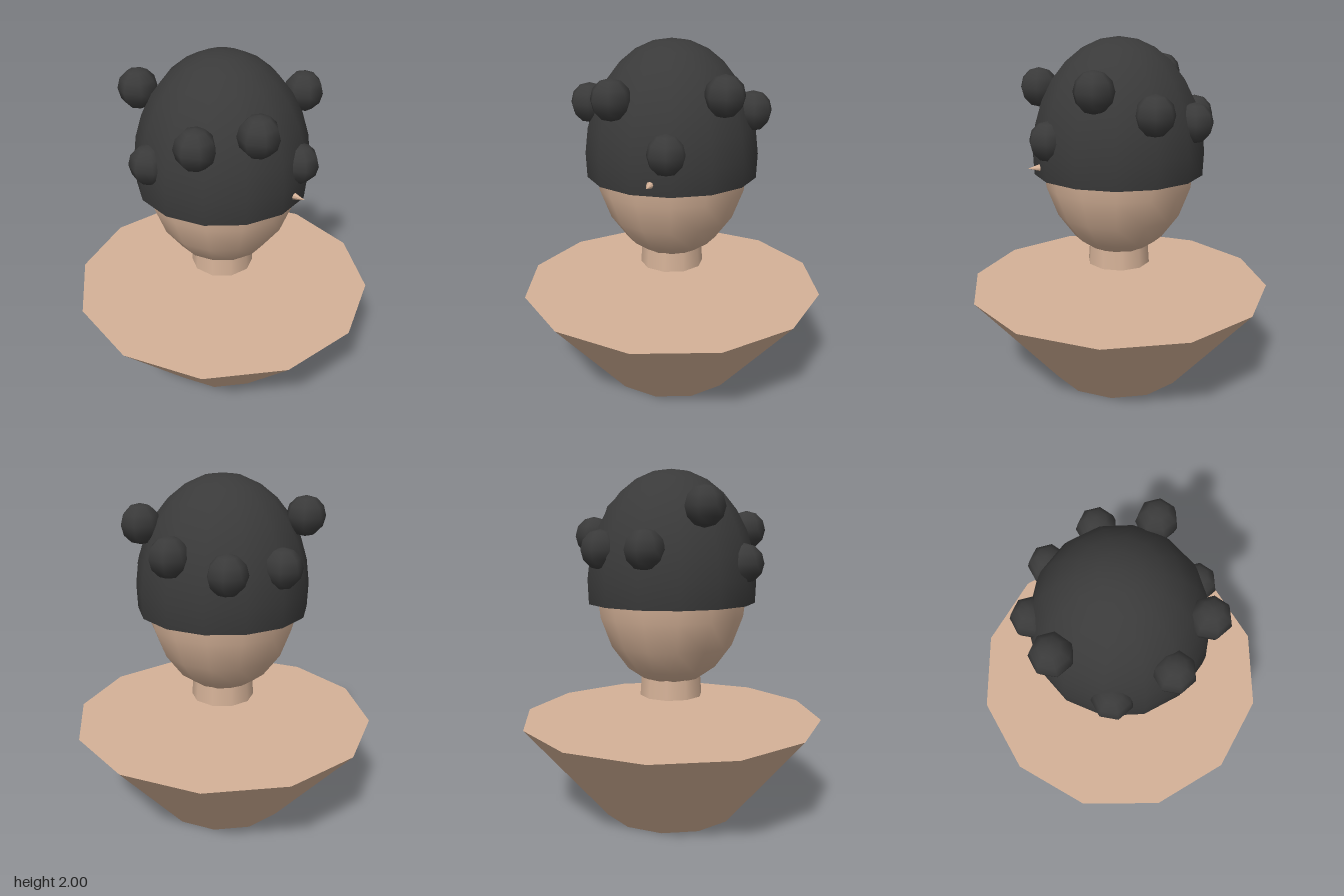
import * as THREE from 'three';

export function createModel() {
  const model = new THREE.Group();
  model.name = 'bust';
  const skin = new THREE.MeshStandardMaterial({ name: 'skin', color: 0xd4b197 });
  const hair = new THREE.MeshStandardMaterial({ name: 'hair', color: 0x3a3a3a, side: THREE.DoubleSide });

  const add = (name, geometry, material, x, y, z) => {
    const mesh = new THREE.Mesh(geometry, material);
    mesh.name = name;
    mesh.position.set(x, y, z);
    model.add(mesh);
    return mesh;
  };

  // Tapered torso and the neck floating above it
  add('torso', new THREE.CylinderGeometry(0.88, 0.4, 0.57, 12), skin, 0, 0.285, 0);
  add('neck', new THREE.CylinderGeometry(0.162, 0.184, 0.3, 10), skin, 0, 0.85, 0);

  // Egg-shaped head with a small pointed nose
  add('head', new THREE.SphereGeometry(1, 14, 10), skin, 0, 1.355, 0).scale.set(0.44, 0.6, 0.44);
  add('nose', new THREE.ConeGeometry(0.052, 0.18, 8).rotateX(Math.PI / 2), skin, 0, 1.31, 0.45);

  // Hair cap, open underneath
  add('hairCap', new THREE.SphereGeometry(1, 14, 8, 0, Math.PI * 2, 0, Math.PI * 0.55), hair, 0, 1.351, 0)
    .scale.set(0.49, 0.649, 0.49);

  // Curls spaced evenly round the cap at varying heights
  const curl = new THREE.SphereGeometry(0.11, 7, 6);
  const heights = [1.625, 1.745, 1.465, 1.72, 1.66, 1.48, 1.78, 1.56, 1.555];
  heights.forEach((y, i) => {
    const a = (i / heights.length) * Math.PI * 2;
    add('curl' + (i + 1), curl, hair, Math.cos(a) * 0.45, y, Math.sin(a) * 0.45);
  });
  return model;
}
